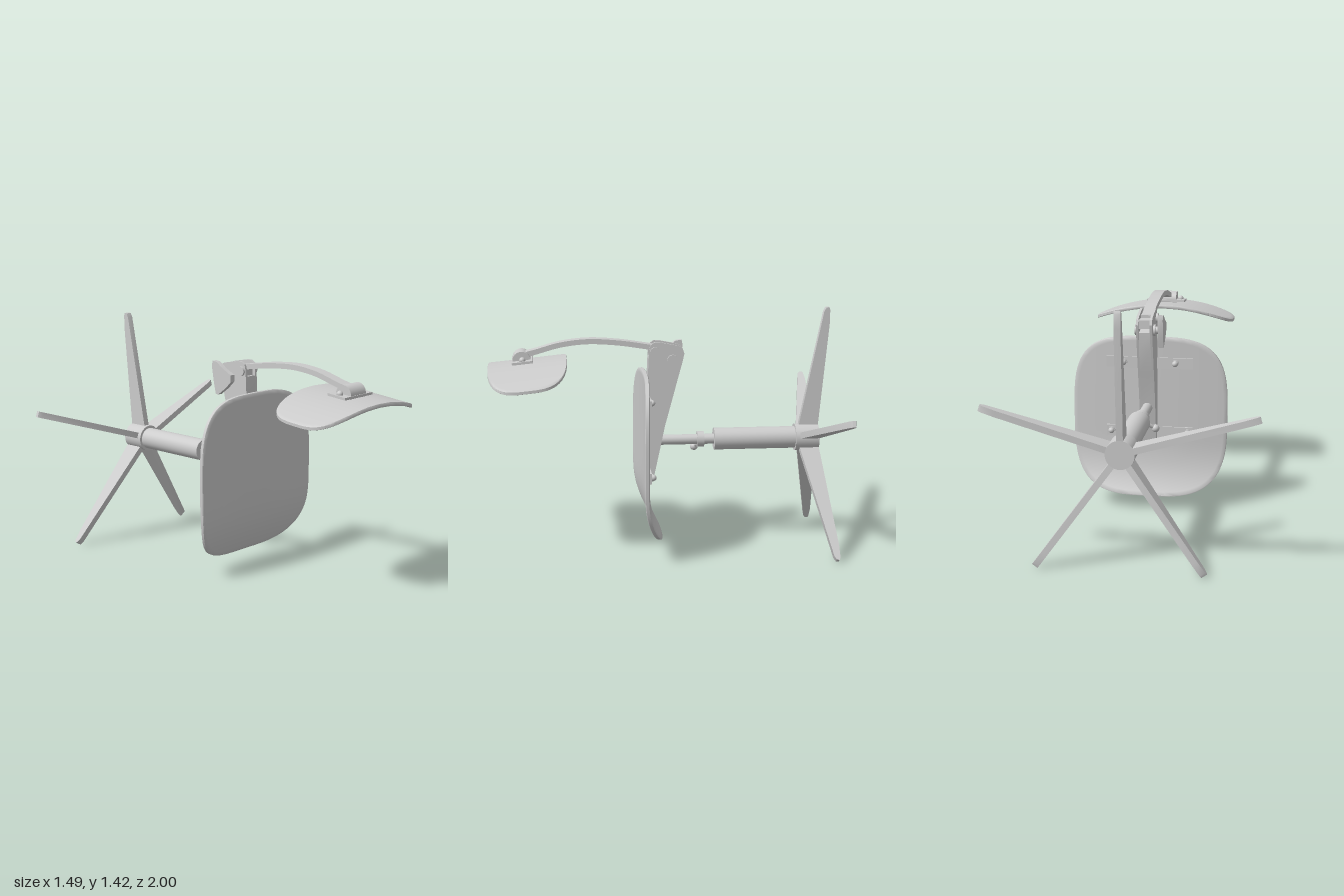
import * as THREE from 'three';
import { toCreasedNormals } from 'three/addons/utils/BufferGeometryUtils.js';

const mat = new THREE.MeshStandardMaterial({ color: 0xcccccc });
const AXIS_Y = 0.645; // height of the column axis

export function createModel() {
  const model = new THREE.Group();

  const add = (name, geo, x = 0, y = 0, z = 0, parent = model) => {
    const m = new THREE.Mesh(geo, mat);
    m.name = name;
    m.position.set(x, y, z);
    parent.add(m);
    return m;
  };
  const box = (w, h, d) => new THREE.BoxGeometry(w, h, d);
  const cylX = (r, len) => new THREE.CylinderGeometry(r, r, len, 32).rotateZ(Math.PI / 2);
  const cylZ = (r, len) => new THREE.CylinderGeometry(r, r, len, 40).rotateX(Math.PI / 2);

  // Side profile given as [z, y], extruded across x and centred on it
  const profile = (pts, width) => {
    const shape = new THREE.Shape(pts.map(([z, y]) => new THREE.Vector2(z, y)));
    const geo = new THREE.ExtrudeGeometry(shape, { depth: width, bevelEnabled: false });
    return toCreasedNormals(geo.translate(0, 0, -width / 2).rotateY(-Math.PI / 2), 0.5);
  };

  // Bent cushion shell with a rounded-square outline: rings out over the front, in over the back
  const shell = (halfW, halfH, power, thick, bend) => {
    const radii = [0, 0.2, 0.4, 0.6, 0.75, 0.87, 0.95, 0.99];
    const rows = [
      ...radii.map((r) => [r, 0.5]), [1, 0.35], [1, -0.35],
      ...radii.slice().reverse().map((r) => [r, -0.5]),
    ];
    const seg = 80, pos = [], idx = [];
    const sq = (c) => Math.sign(c) * Math.abs(c) ** (2 / power);
    for (const [r, side] of rows) {
      for (let j = 0; j < seg; j++) {
        const a = (j / seg) * Math.PI * 2;
        const u = r * halfW * sq(Math.cos(a)), v = r * halfH * sq(Math.sin(a));
        pos.push(u, v, bend(u, v) + side * thick);
      }
    }
    for (let i = 0; i < rows.length - 1; i++) {
      for (let j = 0; j < seg; j++) {
        const k = (j + 1) % seg;
        const a = i * seg + j, b = a + seg, c = (i + 1) * seg + k, d = i * seg + k;
        if (i < rows.length - 2) idx.push(a, b, c);
        else idx.push(a, b, d);
        if (i > 0 && i < rows.length - 2) idx.push(a, c, d);
      }
    }
    const geo = new THREE.BufferGeometry();
    geo.setAttribute('position', new THREE.Float32BufferAttribute(pos, 3));
    geo.setIndex(idx);
    return toCreasedNormals(geo, 0.7);
  };

  // Seat: slightly dished, with its front edge rolled back
  add('seat', shell(0.465, 0.4825, 3.4, 0.025, (x, v) => {
    const lip = Math.max(0, (-0.15 - v) / 0.3325);
    return 0.09 + 0.025 * (x / 0.465) ** 2 - 0.085 * lip ** 2.3;
  }), 0, 0.5725, 0);

  // Backrest: curved around the sitter and tilted
  const backrest = shell(0.435, 0.2275, 3.4, 0.022,
    (x, v) => 1.122 + 0.1 * v - 0.09 * (x / 0.435) ** 2);
  add('backrest', backrest.rotateX(-Math.PI / 2), 0, 0, 0.7725);

  // Seat straps with their bolts
  for (const y of [0.9, 0.475]) {
    add('seatStrap', box(0.52, 0.065, 0.014), 0, y, 0.078);
    for (const s of [-1, 1]) {
      for (const x of [0.155, 0.23]) {
        if ((y > 0.6) === (x < 0.2)) {
          add('strapBolt', new THREE.SphereGeometry(0.018, 20, 14), s * x, y, 0.06);
          add('strapWasher', cylZ(0.022, 0.012), s * x, y, 0.068);
        }
      }
    }
  }

  // Tapered spine: core between two taller cheek plates
  const lower = [[0.083, 0.42], [0.083, 0.85], [0.075, 1.05]];
  const rear = [[-0.1, 1.02], [-0.06, 0.87], [-0.025, 0.74], [0, 0.62], [0.03, 0.48], [0.043, 0.42]];
  add('spineCore', profile([...lower, [0.07, 1.15], [-0.11, 1.12], ...rear], 0.07));
  for (const s of [-1, 1]) {
    add('spineCheek', profile([...lower, [0.068, 1.19], [0.06, 1.22], [0.035, 1.237], [0, 1.235],
      [-0.1, 1.215], [-0.128, 1.2], [-0.138, 1.17], [-0.13, 1.13], ...rear], 0.014), s * 0.04);
    add('upperPivotBolt', cylX(0.028, 0.016), s * 0.052, 1.18, 0.035);
    add('lowerPivotBolt', cylX(0.033, 0.016), s * 0.052, 1.13, -0.07);
  }
  add('pivotBlock', box(0.07, 0.06, 0.09), 0, 1.18, 0.005);
  add('spineCap', box(0.066, 0.05, 0.07), 0, 1.17, -0.085);

  // Tilt lever
  add('leverPin', cylX(0.022, 0.06), -0.07, 1.13, -0.07);
  add('leverPaddle', profile([[-0.1, 1.225], [-0.135, 1.23], [-0.142, 1.2], [-0.125, 1.1],
    [-0.11, 1.035], [-0.09, 1.035], [-0.03, 1.08], [0.01, 1.12], [0.01, 1.16], [-0.05, 1.19]], 0.03), -0.095);

  // Backrest arm: curved flat bar
  const armCurve = new THREE.SplineCurve([[0.0, 1.195], [0.1, 1.213], [0.25, 1.235], [0.42, 1.245],
    [0.58, 1.228], [0.72, 1.19], [0.82, 1.165]].map(([z, y]) => new THREE.Vector2(z, y)));
  const top = [], bottom = [];
  for (let i = 0; i <= 28; i++) {
    const p = armCurve.getPoint(i / 28), t = armCurve.getTangent(i / 28);
    top.push([p.x - t.y * 0.015, p.y + t.x * 0.015]);
    bottom.unshift([p.x + t.y * 0.015, p.y - t.x * 0.015]);
  }
  add('backrestArm', profile([...bottom, ...top], 0.068));

  // Backrest mount
  add('mountBarrel', cylX(0.052, 0.13), 0, 1.145, 0.805);
  add('mountPlate', box(0.24, 0.014, 0.12), 0, 1.14, 0.8).rotation.x = 0.1;
  for (const s of [-1, 1]) {
    add('mountBolt', new THREE.SphereGeometry(0.018, 20, 14), s * 0.09, 1.152, 0.8);
  }

  // Column along z
  add('columnRod', cylZ(0.03, 0.36), 0, AXIS_Y, -0.15);
  add('columnCollar', cylZ(0.046, 0.04), 0, AXIS_Y, -0.24);
  add('columnSleeve', cylZ(0.065, 0.5), 0, AXIS_Y, -0.57);
  add('hub', cylZ(0.08, 0.14), 0, AXIS_Y, -0.875);

  // Height lock knob
  const from = new THREE.Vector3(-0.025, 0.62, -0.24), to = new THREE.Vector3(-0.08, 0.582, -0.212);
  add('knobStem', new THREE.TubeGeometry(new THREE.LineCurve3(from, to), 1, 0.011, 12));
  add('lockKnob', new THREE.SphereGeometry(0.023, 24, 16), to.x, to.y, to.z);

  // Five tapering legs around the hub
  const legGeo = profile([[-0.83, 0.03], [-0.94, 0.03], [-0.945, 0.08], [-1, 0.69], [-1, 0.765],
    [-0.994, 0.78], [-0.978, 0.778], [-0.965, 0.755], [-0.83, 0.08]].reverse(), 0.036);
  for (let i = 0; i < 5; i++) {
    add('leg', legGeo, 0, AXIS_Y, 0).rotation.z = (i * Math.PI * 2) / 5;
  }

  return model;
}
